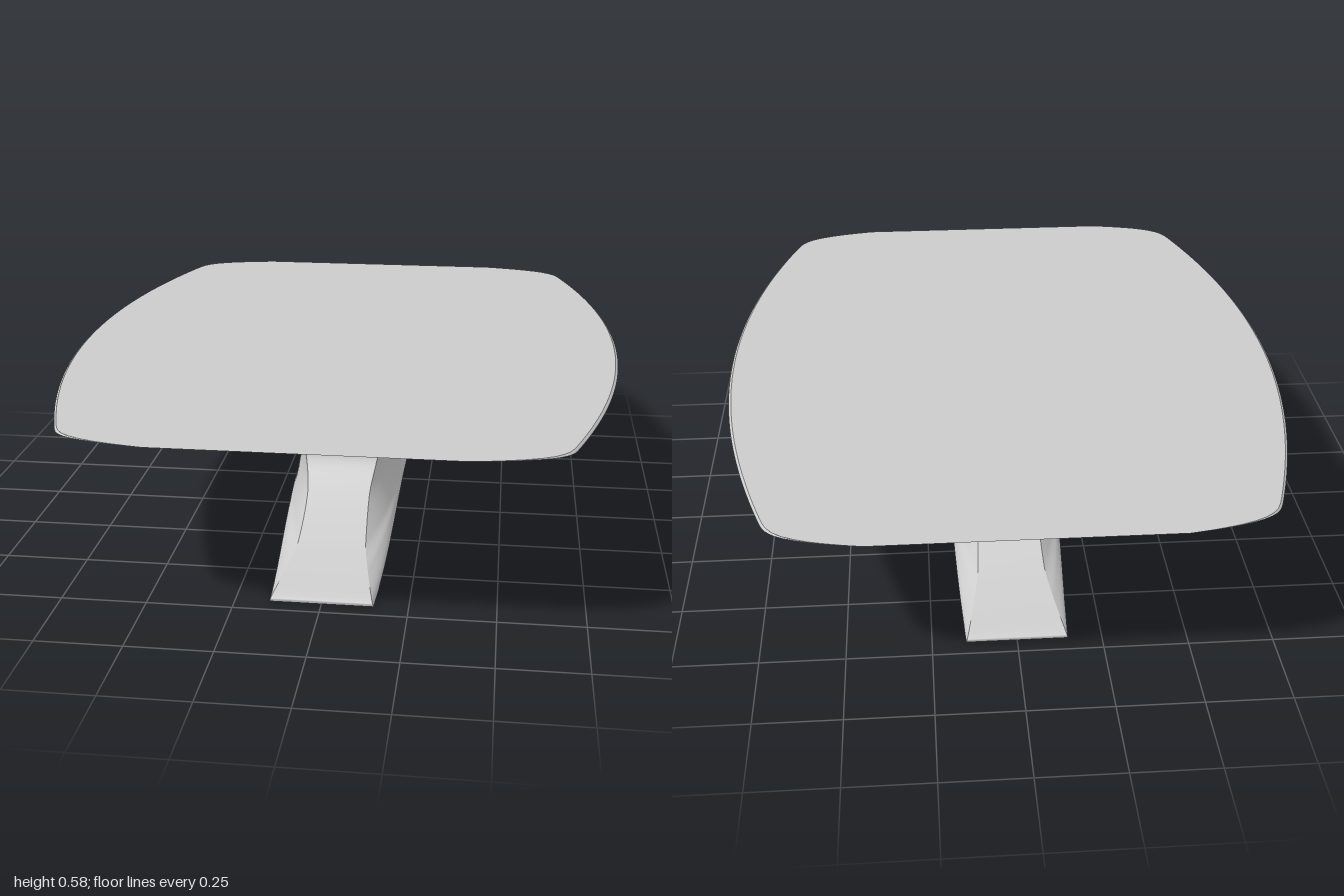
import * as THREE from 'three';

// Rows from the foot tips up to the tabletop rim:
// [reach in z, height, half-width at the middle, half-width at the ends]
const ROWS = [
  [0.70, 0.000, 0.168, 0.150], [0.70, 0.010, 0.173, 0.147],
  [0.58, 0.043, 0.174, 0.122], [0.46, 0.080, 0.170, 0.102],
  [0.30, 0.170, 0.160, 0.096], [0.22, 0.250, 0.153, 0.110],
  [0.205, 0.32, 0.151, 0.126], [0.225, 0.42, 0.172, 0.160],
  [0.235, 0.46, 0.210, 0.205], [0.242, 0.485, 0.32, 0.32],
  [0.25, 0.502, 0.47, 0.47], [0.28, 0.515, 0.58, 0.58],
  [0.33, 0.525, 0.64, 0.64], [0.675, 0.557, 0.78, 0.78],
  [0.89, 0.572, 0.84, 0.84], [1.00, 0.580, 0.832, 0.832],
];
const profile = new THREE.CatmullRomCurve3(ROWS.map(([z, y]) => new THREE.Vector3(z, y, 0)));
const widths = new THREE.CatmullRomCurve3(ROWS.map((r) => new THREE.Vector3(r[2], r[3], 0)));

// Arch under the foot
const arch = (z) => 0.0415 * (1 + Math.cos(Math.PI * Math.min(1, Math.abs(z) / 0.62)));

// Plan outline of the tabletop: bowed sides and rounded corners, 1 at the middle
const outline = (z) => {
  const a = Math.abs(z);
  return (0.84 - 0.2 * a * a - 0.22 * Math.max(0, (a - 0.85) / 0.15) ** 4) / 0.84;
};

// Point on the side skin: s runs up the rows, t from back (-1) to front (1)
function skin(s, t) {
  const p = profile.getPoint(s);
  const w = widths.getPoint(s);
  const z = p.x * t;
  const lift = (arch(z) - arch(p.x)) * Math.max(0, 1 - p.y / 0.25);
  const x = THREE.MathUtils.lerp(w.x, w.y, t * t);
  const scale = THREE.MathUtils.lerp(1, outline(z), THREE.MathUtils.smoothstep(p.y, 0.4, 0.5));
  return [x * scale, p.y + lift, z];
}

// Grid surface whose vertices follow the rule fn(u, v)
function surface(name, nu, nv, fn, material) {
  const geometry = new THREE.PlaneGeometry(1, 1, nu, nv);
  const { position, uv } = geometry.attributes;
  for (let i = 0; i < position.count; i++) {
    position.setXYZ(i, ...fn(uv.getX(i), uv.getY(i)));
  }
  geometry.computeVertexNormals();
  const mesh = new THREE.Mesh(geometry, material);
  mesh.name = name;
  return mesh;
}

export function createModel() {
  const group = new THREE.Group();
  group.name = 'pedestalTable';
  const material = new THREE.MeshStandardMaterial({ color: 0xcccccc, side: THREE.DoubleSide });
  const across = (u, [x, y, z]) => [x * u, y, z];
  const along = (u) => -Math.cos(Math.PI * u); // denser towards the ends

  for (const [name, m] of [['left', 1], ['right', -1]]) {
    // Side skin, from foot edge to tabletop rim
    group.add(surface(name + 'Side', 64, 120, (u, v) => {
      const [x, y, z] = skin(v, -m * along(u));
      return [m * x, y, z];
    }, material));
  }
  for (const [name, m] of [['front', 1], ['back', -1]]) {
    // End face: top of the foot, column and underside of the tabletop
    group.add(surface(name + 'Face', 8, 120,
      (u, v) => across(m * (2 * u - 1), skin(v, m)), material));
  }
  // Arched underside of the foot and flat tabletop
  group.add(surface('footUnderside', 8, 64,
    (u, v) => across(2 * u - 1, skin(0, along(v))), material));
  group.add(surface('tabletop', 8, 64,
    (u, v) => across(2 * u - 1, skin(1, -along(v))), material));
  return group;
}
